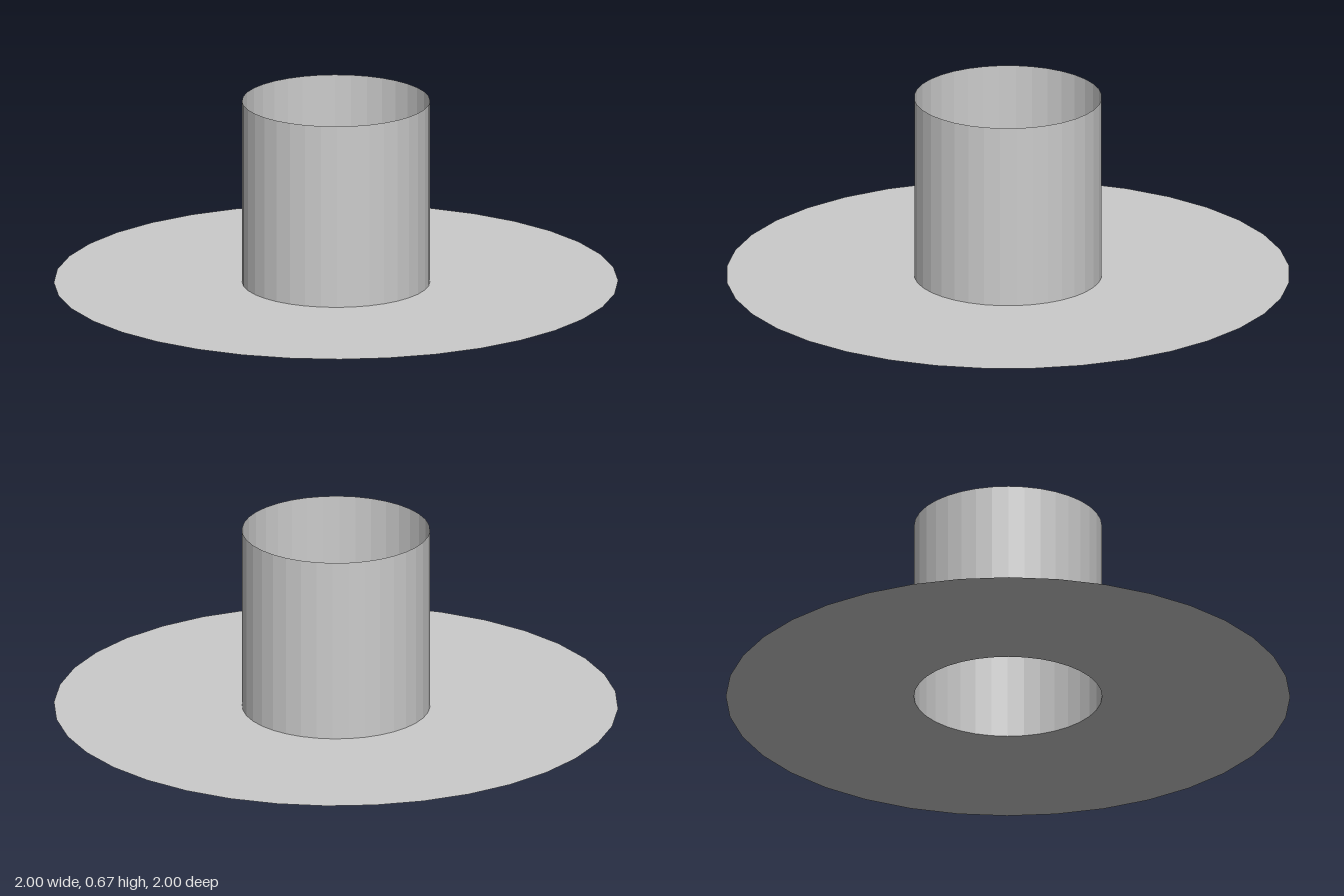
import * as THREE from 'three';

const SEGMENTS = 36;
const OUTER = 1;
const INNER = 1 / 3;
const HEIGHT = 2 / 3;

export function createModel() {
  const group = new THREE.Group();
  group.name = 'flangedTube';
  const material = new THREE.MeshStandardMaterial({
    color: 0xcccccc, flatShading: true, side: THREE.DoubleSide,
  });

  // Thin flat ring lying on the ground, open in the middle
  const flange = new THREE.Mesh(new THREE.RingGeometry(INNER, OUTER, SEGMENTS), material);
  flange.name = 'flange';
  flange.rotation.x = -Math.PI / 2;
  group.add(flange);

  // Open-ended tube rising from the ring's inner edge
  const tube = new THREE.Mesh(
    new THREE.CylinderGeometry(INNER, INNER, HEIGHT, SEGMENTS, 1, true), material);
  tube.name = 'tube';
  tube.position.y = HEIGHT / 2;
  group.add(tube);

  return group;
}
